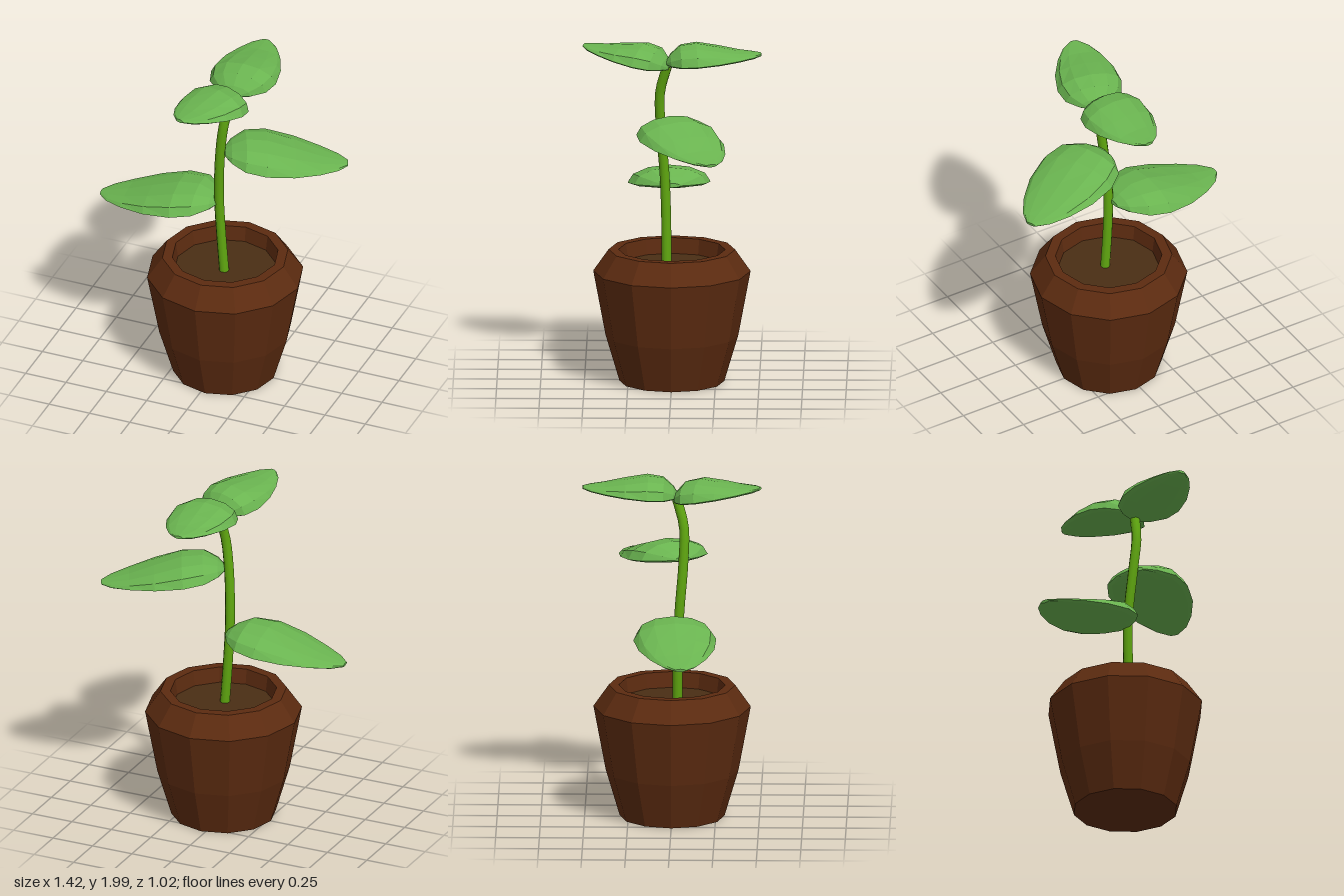
import * as THREE from 'three';

const mat = (color, flatShading = true) => new THREE.MeshStandardMaterial({ color, flatShading });
const V = (x, y, z) => new THREE.Vector3(x, y, z);

// Leaf stations: position along length, half width, dome height, belly depth
const STATIONS = [
  [0, 0.2, 0.015, 0.01], [0.05, 0.52, 0.05, 0.016], [0.16, 0.87, 0.095, 0.02],
  [0.33, 1, 0.1, 0.022], [0.56, 0.91, 0.066, 0.022], [0.77, 0.67, 0.032, 0.02],
  [0.92, 0.4, 0.017, 0.016], [1, 0.13, 0.01, 0.008],
];

// Closed leaf body: domed on top, nearly flat below, lofted from root to tip
function leafGeometry(length, halfWidth) {
  const N = 12, pos = [], idx = [];
  for (const [u, w, h, b] of STATIONS) {
    for (let j = 0; j < N; j++) {
      const t = (j / N) * Math.PI * 2, s = Math.sin(t);
      pos.push(u * length, s > 0 ? h * s : b * s, halfWidth * w * Math.cos(t));
    }
  }
  const last = STATIONS.length - 1;
  for (let i = 0; i < last; i++) {
    for (let j = 0; j < N; j++) {
      const k = (j + 1) % N;
      const a = i * N + j, b = a + N, c = i * N + k, d = c + N;
      idx.push(a, b, c, b, d, c);
    }
  }
  for (let j = 1; j < N - 1; j++) {
    idx.push(0, j, j + 1, last * N, last * N + j + 1, last * N + j);
  }
  const g = new THREE.BufferGeometry();
  g.setAttribute('position', new THREE.Float32BufferAttribute(pos, 3));
  g.setIndex(idx);
  g.computeVertexNormals();
  return g;
}

// Leaf placed so that it runs from root to tip with its dome upward
function makeLeaf(name, root, tip, halfWidth, material) {
  const dir = tip.clone().sub(root);
  const leaf = new THREE.Mesh(leafGeometry(dir.length(), halfWidth), material);
  dir.normalize();
  const side = dir.clone().cross(V(0, 1, 0)).normalize();
  const up = side.clone().cross(dir);
  leaf.quaternion.setFromRotationMatrix(new THREE.Matrix4().makeBasis(dir, up, side));
  leaf.position.copy(root);
  leaf.name = name;
  return leaf;
}

export function createModel() {
  const group = new THREE.Group();
  group.name = 'pottedPlant';
  const cx = 0.028;

  // Twelve-sided pot with a bevelled rim and an inner wall
  const profile = [[0, 0], [0.3, 0], [0.38, 0.27], [0.45, 0.645], [0.362, 0.77], [0.305, 0.77], [0.29, 0.66]];
  const pot = new THREE.Mesh(
    new THREE.LatheGeometry(profile.map(([r, y]) => new THREE.Vector2(r, y)), 12), mat(0x5c2b10));
  pot.name = 'pot';
  pot.position.x = cx;
  group.add(pot);

  // Soil
  const soil = new THREE.Mesh(new THREE.CircleGeometry(0.3, 12), mat(0x4a2e14));
  soil.name = 'soil';
  soil.rotation.x = -Math.PI / 2;
  soil.position.set(cx, 0.68, 0);
  group.add(soil);

  // Curved stem
  const path = new THREE.CatmullRomCurve3([
    V(0.035, 0.66, 0.03), V(0.015, 0.95, 0.033), V(0.007, 1.2, 0.042),
    V(0.025, 1.5, 0.065), V(0.05, 1.7, 0.067), V(0.08, 1.86, 0.025),
  ]);
  const stem = new THREE.Mesh(new THREE.TubeGeometry(path, 20, 0.028, 10), mat(0x5fa610, false));
  stem.name = 'stem';
  group.add(stem);

  // Two broad lower leaves and two smaller top leaves
  const green = mat(0x6ab450);
  group.add(
    makeLeaf('lowerRightLeaf', V(0, 1.135, 0.0), V(-0.713, 1.045, 0.06), 0.238, green),
    makeLeaf('middleLeftLeaf', V(0.05, 1.505, 0.06), V(0.69, 1.41, -0.235), 0.238, green),
    makeLeaf('topFrontLeaf', V(0.095, 1.85, 0.015), V(-0.045, 1.95, 0.505), 0.19, green),
    makeLeaf('topBackLeaf', V(0.085, 1.875, 0.03), V(0.07, 1.925, -0.512), 0.198, green),
  );
  return group;
}
